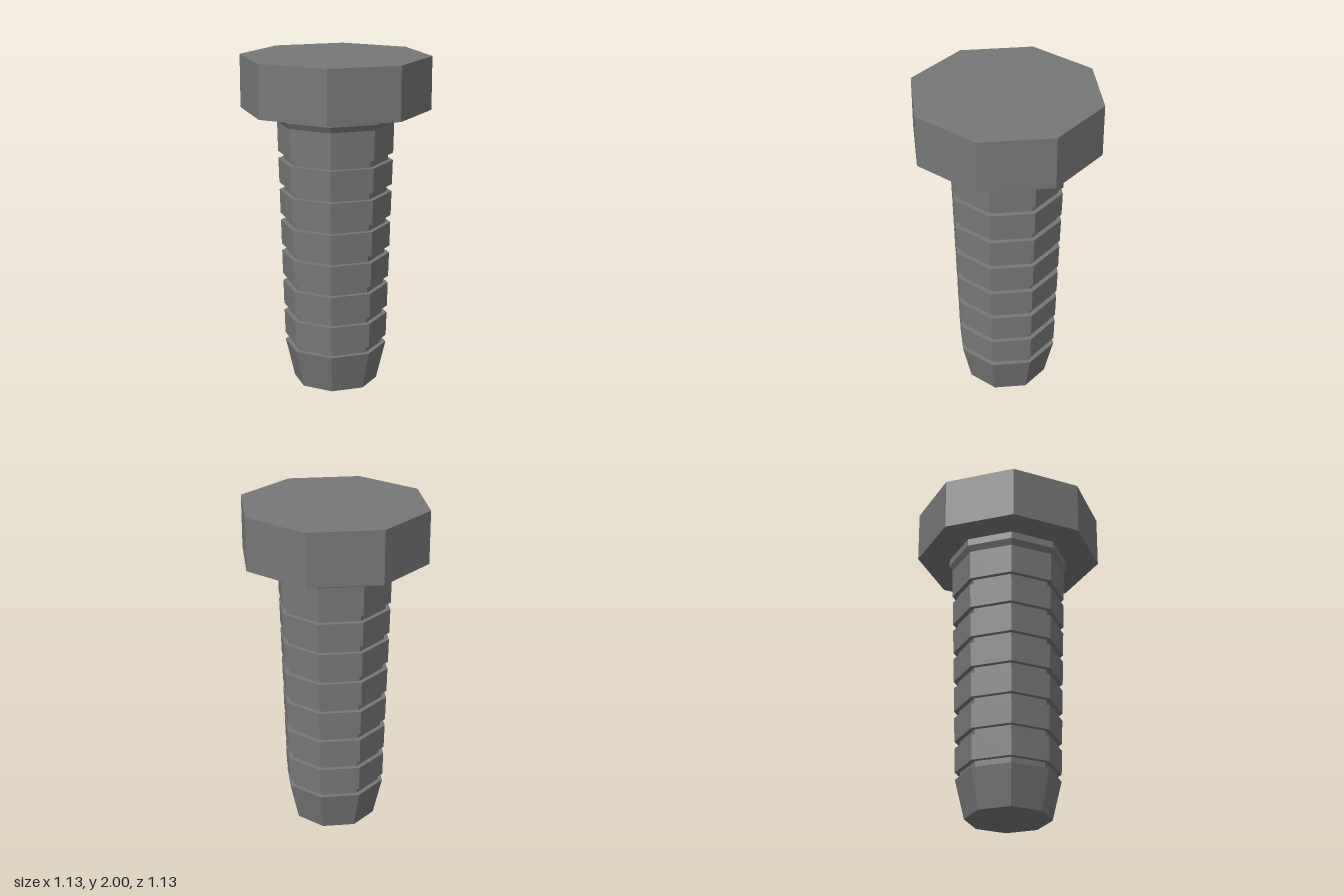
import * as THREE from 'three';

const SIDES = 8;

export function createModel() {
  const model = new THREE.Group();
  model.name = 'bolt';
  const steel = new THREE.MeshStandardMaterial({ color: 0x777777, flatShading: true });
  steel.name = 'dark steel';

  // Octagonal head
  const head = new THREE.Mesh(new THREE.CylinderGeometry(0.563, 0.563, 0.315, SIDES), steel);
  head.name = 'head';
  head.position.y = 1.8425;
  model.add(head);

  // Shank: tapered tip, evenly spaced grooves, then a flared collar under the head
  const radiusAt = (y) => 0.302 + 0.0285 * y;
  const profile = [[0, 0], [0.253, 0]];
  const grooves = 7, firstGroove = 0.236, pitch = 0.191, grooveHeight = 0.043, depth = 0.03;
  for (let i = 0; i < grooves; i++) {
    const low = firstGroove + i * pitch;
    const high = low + grooveHeight;
    profile.push(
      [radiusAt(low), low],
      [radiusAt(low) - depth, low],
      [radiusAt(high) - depth, high],
      [radiusAt(high), high],
    );
  }
  profile.push([0.347, 1.605], [0.367, 1.64], [0.365, 1.69]);

  const shank = new THREE.Mesh(
    new THREE.LatheGeometry(profile.map(([r, y]) => new THREE.Vector2(r, y)), SIDES),
    steel,
  );
  shank.name = 'groovedShank';
  model.add(shank);

  return model;
}
